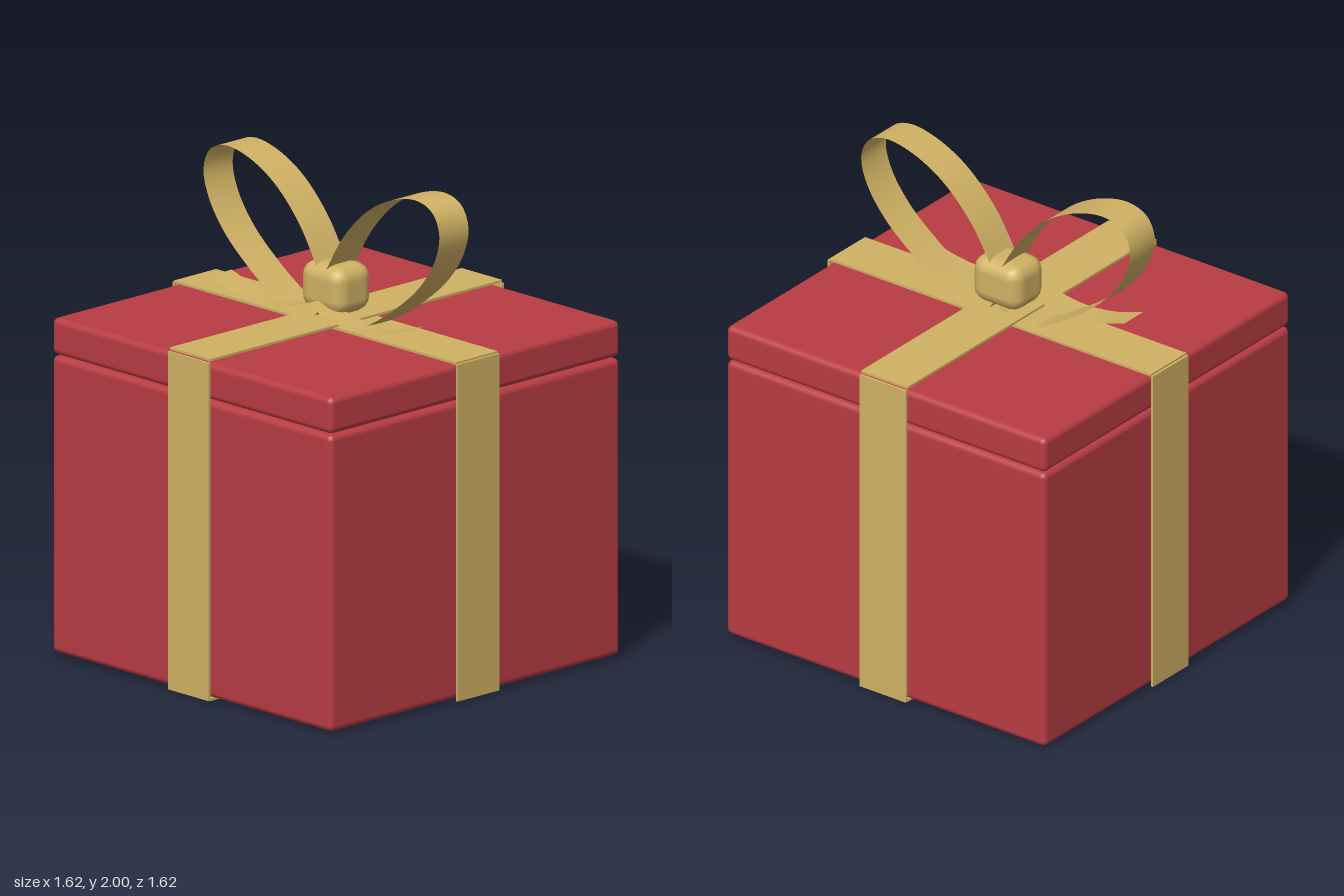
import * as THREE from 'three';
import { RoundedBoxGeometry } from 'three/addons/geometries/RoundedBoxGeometry.js';

export function createModel() {
  const group = new THREE.Group();
  const red = new THREE.MeshStandardMaterial({ color: 0xb83c43 });
  red.name = 'red paper';
  const gold = new THREE.MeshStandardMaterial({ color: 0xd1b264, side: THREE.DoubleSide });
  gold.name = 'gold ribbon';

  const add = (name, geometry, material, x = 0, y = 0, z = 0) => {
    const mesh = new THREE.Mesh(geometry, material);
    mesh.name = name;
    mesh.position.set(x, y, z);
    group.add(mesh);
    return mesh;
  };

  // Box and lid with softened edges
  add('box', new RoundedBoxGeometry(1.59, 1.22, 1.59, 3, 0.025), red, 0, 0.62, 0);
  add('lid', new RoundedBoxGeometry(1.59, 0.15, 1.59, 3, 0.025), red, 0, 1.31, 0);

  // Flat ribbon bands around the box
  const W = 0.23, T = 0.01;
  for (const s of [-1, 1]) {
    add('sideRibbon', new THREE.BoxGeometry(T, 1.385, W), gold, s * 0.805, 0.6975, 0);
    add('faceRibbon', new THREE.BoxGeometry(W, 1.39, T), gold, 0, 0.697, s * 0.805);
  }
  add('topRibbonAcross', new THREE.BoxGeometry(1.6, T, W), gold, 0, 1.393, 0);
  add('topRibbonAlong', new THREE.BoxGeometry(W, T, 1.6), gold, 0, 1.402, 0);
  add('bottomRibbon', new THREE.BoxGeometry(W, T, 1.6), gold, 0, 0.005, 0);

  // Thin strip that follows a curve in the xy plane, from z0 to z1
  const strip = (points, z0, z1, segments) => {
    const curve = new THREE.CatmullRomCurve3(points.map(([x, y]) => new THREE.Vector3(x, y, 0)));
    const g = new THREE.PlaneGeometry(1, 1, segments, 1);
    const pos = g.attributes.position;
    for (let i = 0; i < pos.count; i++) {
      const p = curve.getPointAt(Math.min(1, Math.max(0, pos.getX(i) + 0.5)));
      pos.setXYZ(i, p.x, p.y, pos.getY(i) > 0 ? z0 : z1);
    }
    g.computeVertexNormals();
    return g;
  };

  // Bow loops, mirrored left and right
  const loop = [[0, 1.55], [0.04, 1.63], [0.13, 1.77], [0.27, 1.905], [0.42, 1.98], [0.55, 2.0],
    [0.635, 1.965], [0.67, 1.88], [0.64, 1.765], [0.55, 1.64], [0.42, 1.53], [0.3, 1.45],
    [0.2, 1.4], [0.1, 1.375], [0.04, 1.405], [0, 1.46]];
  for (const s of [-1, 1]) {
    add(s > 0 ? 'leftLoop' : 'rightLoop',
      strip(loop.map(([x, y]) => [s * x, y]), -0.08, 0.08, 64), gold);
  }

  // Ribbon tails lying in front of the loops
  const tail = [[0, 1.48], [0.1, 1.445], [0.19, 1.428], [0.28, 1.422], [0.42, 1.44], [0.55, 1.48]];
  for (const s of [-1, 1]) {
    add(s > 0 ? 'leftTail' : 'rightTail',
      strip(tail.map(([x, y]) => [s * x, y]), 0.04, 0.16, 20), gold);
  }

  // Knot at the centre of the bow
  add('knot', new RoundedBoxGeometry(0.24, 0.2, 0.2, 2, 0.06), gold, 0, 1.525, 0);

  return group;
}
